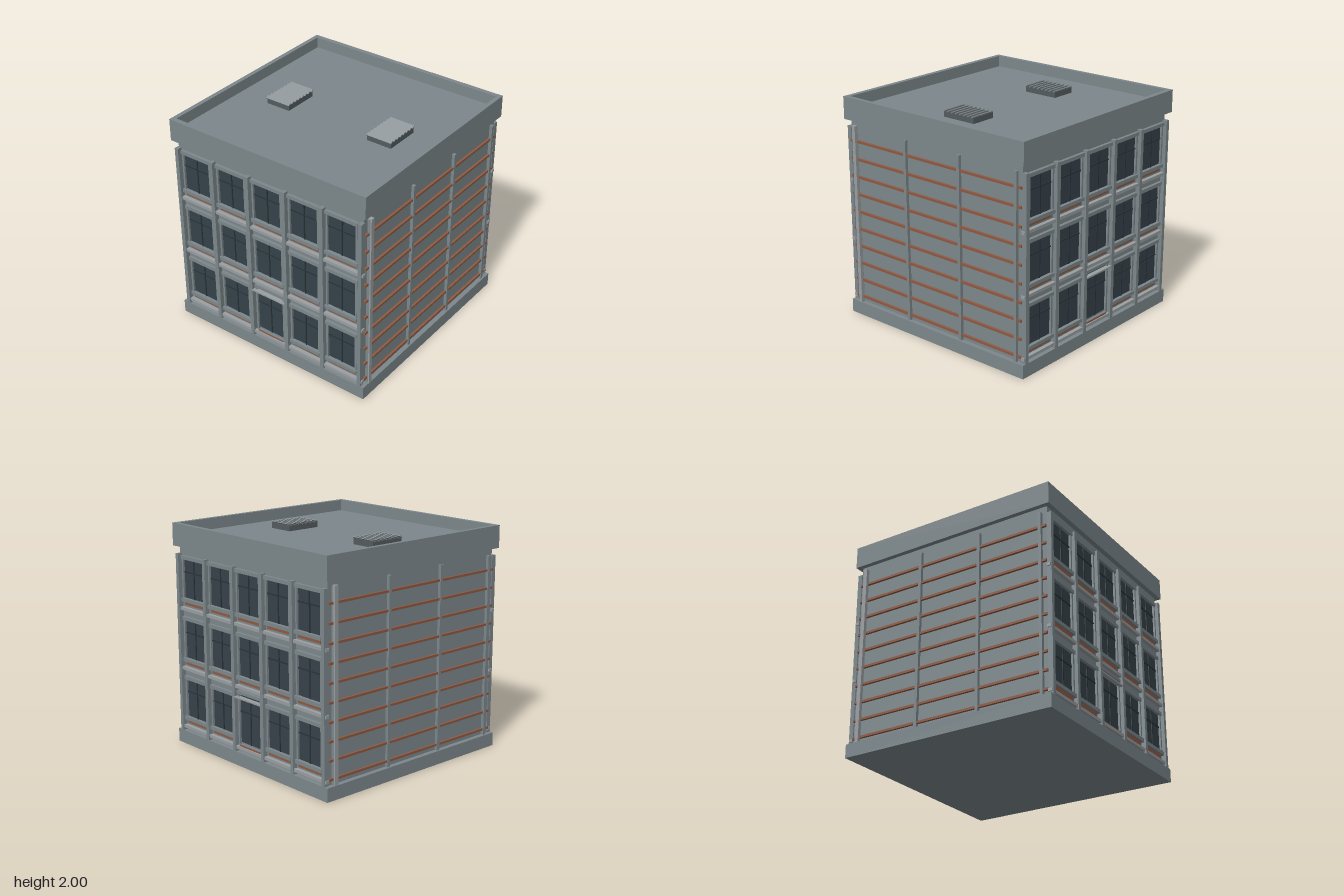
import * as THREE from 'three';

const mat = (color) => new THREE.MeshStandardMaterial({ color });

export function createModel() {
  const M = {
    wall: mat(0x7d888c), light: mat(0x9a9fa1), glass: mat(0x36434a),
    bar: mat(0x28333a), brick: mat(0x8f5a43), vent: mat(0x545c60), slat: mat(0x858d90),
  };
  const group = new THREE.Group();
  group.name = 'building';

  // Box given by its min and max corners
  const box = (parent, name, m, x0, x1, y0, y1, z0, z1) => {
    const mesh = new THREE.Mesh(new THREE.BoxGeometry(x1 - x0, y1 - y0, z1 - z0), m);
    mesh.position.set((x0 + x1) / 2, (y0 + y1) / 2, (z0 + z1) / 2);
    mesh.name = name;
    parent.add(mesh);
    return mesh;
  };
  const rect = (C, x0, x1, y0, y1) => {
    const s = new C();
    s.moveTo(x0, y0).lineTo(x1, y0).lineTo(x1, y1).lineTo(x0, y1).closePath();
    return s;
  };
  // Rectangular ring in the xy plane, extruded along z; outer and inner are [x0, x1, y0, y1]
  const ring = (parent, name, m, outer, inner, z0, depth) => {
    const s = rect(THREE.Shape, ...outer);
    s.holes.push(rect(THREE.Path, ...inner));
    const mesh = new THREE.Mesh(new THREE.ExtrudeGeometry(s, { depth, bevelEnabled: false }), m);
    mesh.position.z = z0;
    mesh.name = name;
    parent.add(mesh);
    return mesh;
  };

  const W = 0.957; // half width of the walls

  // Plinth, walls, cornice with parapet
  box(group, 'plinth', M.wall, -1, 1, 0, 0.12, -1, 1);
  box(group, 'walls', M.wall, -W, W, 0.12, 1.8, -W, W);
  box(group, 'roof', M.wall, -0.97, 0.97, 1.8, 1.9, -0.97, 0.97);
  const parapet = ring(group, 'parapet', M.wall, [-1, 1, -1, 1], [-0.96, 0.96, -0.955, 0.955], 0, 0.2);
  parapet.rotation.x = -Math.PI / 2;
  parapet.position.y = 1.8;

  // Window whose opening starts at height y
  const addWindow = (parent, cx, y) => {
    const w = new THREE.Group();
    w.name = 'window';
    w.position.set(cx, y, 0);
    parent.add(w);
    ring(w, 'windowFrame', M.wall, [-0.155, 0.155, -0.03, 0.375], [-0.137, 0.137, 0, 0.345], W - 0.002, 0.022);
    box(w, 'glass', M.glass, -0.137, 0.137, 0, 0.345, W - 0.01, W + 0.002);
    box(w, 'mullion', M.bar, -0.005, 0.005, 0, 0.345, W, W + 0.009);
    box(w, 'transom', M.bar, -0.137, 0.137, 0.226, 0.236, W, W + 0.009);
    box(w, 'sill', M.wall, -0.16, 0.16, -0.032, 0, W, W + 0.033);
    box(w, 'lintel', M.wall, -0.16, 0.16, 0.345, 0.377, W, W + 0.028);
    box(w, 'brickPanel', M.brick, -0.137, 0.137, -0.062, -0.032, W, W + 0.014);
  };

  // Glazed door with canopy
  const addDoor = (parent) => {
    const d = new THREE.Group();
    d.name = 'door';
    parent.add(d);
    ring(d, 'doorFrame', M.wall, [-0.155, 0.155, 0.175, 0.665], [-0.137, 0.137, 0.19, 0.64], W - 0.002, 0.022);
    box(d, 'doorGlass', M.glass, -0.137, 0.137, 0.205, 0.64, W - 0.01, W + 0.002);
    box(d, 'doorMullion', M.bar, -0.005, 0.005, 0.205, 0.6, W, W + 0.009);
    box(d, 'doorTransom', M.bar, -0.137, 0.137, 0.481, 0.491, W, W + 0.009);
    box(d, 'doorLintel', M.wall, -0.16, 0.16, 0.64, 0.667, W, W + 0.028);
    box(d, 'doorstep', M.brick, -0.137, 0.137, 0.172, 0.186, W, W + 0.024);
    box(d, 'canopy', M.light, -0.187, 0.187, 0.602, 0.616, W, 1);
  };

  // One facade and one side wall, repeated half a turn around
  for (let k = 0; k < 2; k++) {
    const half = new THREE.Group();
    half.name = k ? 'backHalf' : 'frontHalf';
    half.rotation.y = k * Math.PI;
    group.add(half);

    // Facade: pilasters, floor bands, windows and door
    for (let i = 0; i < 6; i++) {
      const x = -0.947 + i * 0.3788;
      box(half, 'facadePilaster', M.wall, x - 0.018, x + 0.018, 0.12, 1.735, W, 1);
    }
    for (let r = 0; r < 3; r++) {
      const y = 0.255 + r * 0.545;
      box(half, 'floorBand', M.light, -0.975, 0.975, y - 0.11, y - 0.083, W, 0.992);
      for (let c = -2; c <= 2; c++) {
        if (r === 0 && c === 0) addDoor(half);
        else addWindow(half, c * 0.3775, y);
      }
    }

    // Side: brick courses, pilasters, downpipe
    for (let i = 0; i < 10; i++) {
      const y = 0.17 + i * 0.1605;
      box(half, 'brickCourse', M.brick, W, 0.978, y - 0.01, y + 0.01, -W, W);
    }
    for (let i = 0; i < 4; i++) {
      const z = -0.9 + i * 0.6;
      box(half, 'sidePilaster', M.wall, W, 0.985, 0.12, 1.745, z - 0.014, z + 0.014);
    }
    box(half, 'downpipe', M.light, 0.965, 0.997, 0.12, 1.755, 0.878, 0.914);
  }

  // Rooftop vents with slanted slats
  for (const s of [-1, 1]) {
    const v = new THREE.Group();
    v.name = 'roofVent';
    v.position.set(s * 0.528, 1.9, -0.005);
    group.add(v);
    box(v, 'ventBox', M.vent, -0.118, 0.118, 0, 0.05, -0.165, 0.165);
    for (let i = 0; i < 8; i++) {
      const slat = box(v, 'ventSlat', M.slat, -0.122, 0.122, 0.052, 0.06, -0.015, 0.015);
      slat.position.z = -0.157 + i * 0.0449;
      slat.rotation.x = 0.6;
    }
  }
  return group;
}
